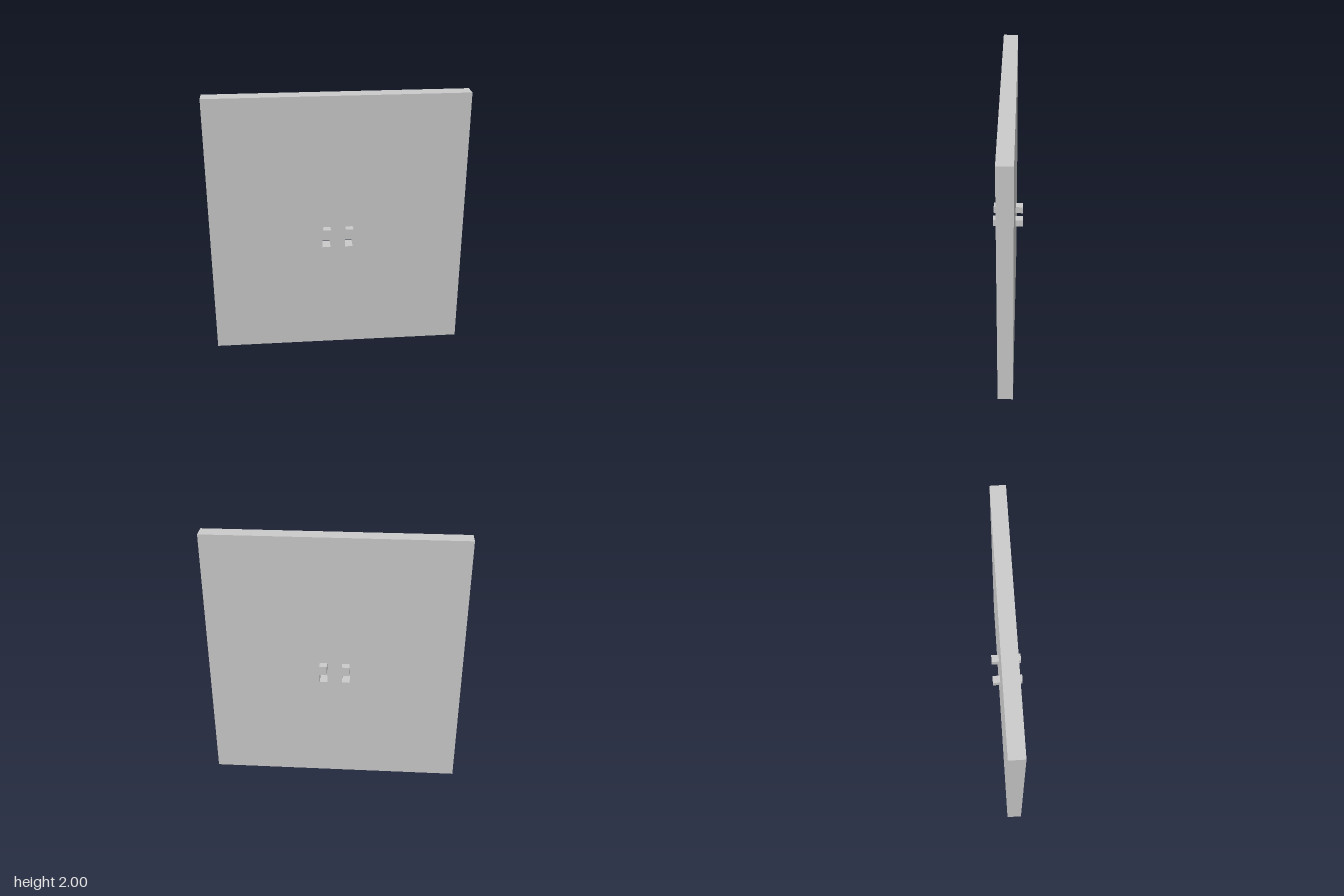
import * as THREE from 'three';

const U = 1 / 18; // grid unit of the design
const WIDTH = 34 * U, HEIGHT = 2, DEPTH = 2 * U;
const COLUMN_X = 1.5 * U; // pegs and holes sit at -x and +x
const HOLE = 0.06, HOLE_Y = 0.864;

// Axis-aligned rectangle as a list of corners
function rectangle(cx, cy, w, h) {
  return [[-1, -1], [1, -1], [1, 1], [-1, 1]].map(
    ([sx, sy]) => new THREE.Vector2(cx + sx * w / 2, cy + sy * h / 2));
}

export function createModel() {
  const group = new THREE.Group();
  const material = new THREE.MeshStandardMaterial({ color: 0xcccccc, flatShading: true });

  // Upright panel with two square through holes
  const outline = new THREE.Shape(rectangle(0, HEIGHT / 2, WIDTH, HEIGHT));
  for (const side of [-1, 1]) {
    outline.holes.push(new THREE.Path(rectangle(side * COLUMN_X, HOLE_Y, HOLE, HOLE).reverse()));
  }
  const panelGeometry = new THREE.ExtrudeGeometry(outline, { depth: DEPTH, bevelEnabled: false });
  panelGeometry.translate(0, 0, -DEPTH / 2);
  const panel = new THREE.Mesh(panelGeometry, material);
  panel.name = 'panel';
  group.add(panel);

  // Cube pegs above the holes, on both faces
  const pegGeometry = new THREE.BoxGeometry(U, U, U);
  for (const [face, z] of [['front', 1.5 * U], ['back', -1.5 * U]]) {
    for (const [hand, x] of [['Left', COLUMN_X], ['Right', -COLUMN_X]]) {
      const peg = new THREE.Mesh(pegGeometry, material);
      peg.name = `${face}${hand}Peg`;
      peg.position.set(x, 17.5 * U, z);
      group.add(peg);
    }
  }
  return group;
}
